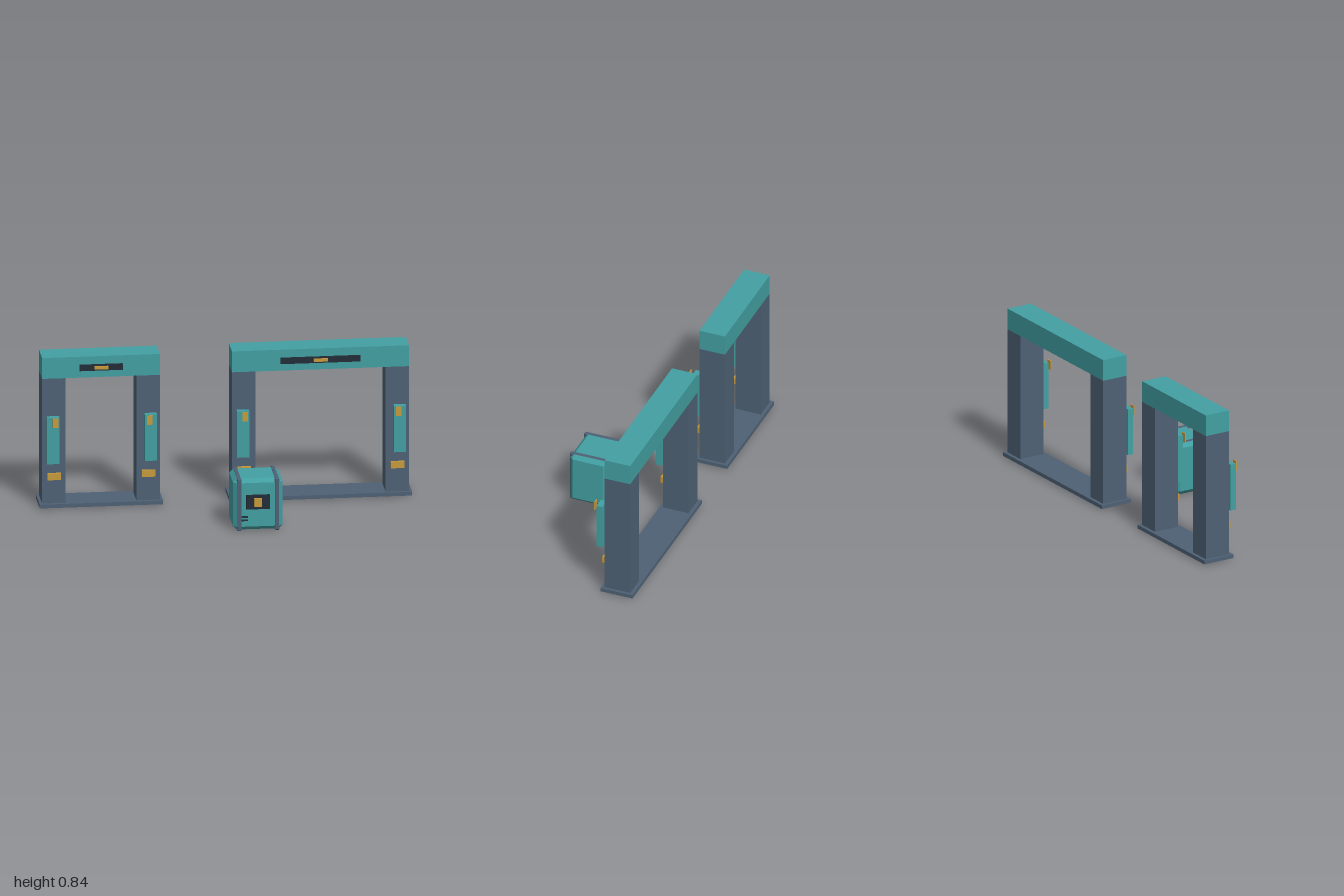
import * as THREE from 'three';
import { ConvexGeometry } from 'three/addons/geometries/ConvexGeometry.js';

const mat = (name, color) => {
  const m = new THREE.MeshStandardMaterial({ color });
  m.name = name;
  return m;
};

export function createModel() {
  const teal = mat('teal', 0x429fa2);
  const slate = mat('slate', 0x4e6175);
  const dark = mat('charcoal', 0x232c37);
  const gold = mat('gold', 0xc89a3c);

  // Box given by its limits on each axis
  const box = (parent, name, material, [x0, x1], [y0, y1], [z0, z1]) => {
    const mesh = new THREE.Mesh(new THREE.BoxGeometry(x1 - x0, y1 - y0, z1 - z0), material);
    mesh.position.set((x0 + x1) / 2, (y0 + y1) / 2, (z0 + z1) / 2);
    mesh.name = name;
    parent.add(mesh);
    return mesh;
  };
  const span = (c, w) => [c - w / 2, c + w / 2];

  // Box with all twelve edges chamfered
  const chamferBox = (w, h, d, c) => {
    const pts = [];
    for (const sx of [-1, 1]) for (const sy of [-1, 1]) for (const sz of [-1, 1]) {
      const x = w / 2, y = h / 2, z = d / 2;
      pts.push(
        new THREE.Vector3(sx * x, sy * (y - c), sz * (z - c)),
        new THREE.Vector3(sx * (x - c), sy * y, sz * (z - c)),
        new THREE.Vector3(sx * (x - c), sy * (y - c), sz * z));
    }
    return new ConvexGeometry(pts);
  };

  // Door frame: threshold, two posts with fittings, lintel with sign
  const gate = (name, cx, width, signWidth) => {
    const g = new THREE.Group();
    g.name = name;
    const depth = [-0.325, -0.178];
    box(g, 'threshold', slate, span(cx, width + 0.03), [0.01, 0.031], [-0.344, -0.159]);
    box(g, 'lintel', teal, span(cx, width), [0.73, 0.847], depth);
    box(g, 'signPanel', dark, span(cx, signWidth), [0.769, 0.803], [-0.178, -0.168]);
    box(g, 'signLight', gold, span(cx, 0.075), [0.778, 0.795], [-0.167, -0.158]);
    for (const side of [-1, 1]) {
      const px = cx + side * (width / 2 - 0.063);
      box(g, 'post', slate, span(px, 0.126), [0.031, 0.73], depth);
      box(g, 'postPlate', teal, span(px + side * 0.009, 0.066), [0.268, 0.527], [-0.155, -0.122]);
      box(g, 'plateClip', gold, span(px, 0.03), [0.478, 0.53], [-0.103, -0.098]);
      box(g, 'postLamp', gold, span(px, 0.073), [0.168, 0.205], [-0.167, -0.153]);
    }
    return g;
  };

  // Chamfered crate with two straps and a latch
  const crate = () => {
    const g = new THREE.Group();
    g.name = 'crate';
    const cx = 0.116, cy = 0.149, cz = 0.22;
    const body = new THREE.Mesh(chamferBox(0.266, 0.286, 0.217, 0.021), teal);
    body.position.set(cx, cy, cz);
    body.name = 'crateBody';
    g.add(body);
    for (const side of [-1, 1]) {
      const strap = new THREE.Mesh(chamferBox(0.025, 0.292, 0.224, 0.005), slate);
      strap.position.set(cx + side * 0.101, cy, cz);
      strap.name = 'crateStrap';
      g.add(strap);
    }
    box(g, 'latchPlate', dark, [0.052, 0.178], [0.125, 0.205], [0.327, 0.336]);
    box(g, 'latch', gold, [0.094, 0.136], [0.141, 0.188], [0.335, 0.345]);
    for (const y of [0.064, 0.082]) box(g, 'ventSlot', dark, [0.026, 0.062], span(y, 0.009), [0.327, 0.333]);
    return g;
  };

  const model = new THREE.Group();
  model.name = 'gatesAndCrate';
  model.add(gate('smallGate', -0.67, 0.632, 0.232), gate('largeGate', 0.508, 0.95, 0.428), crate());
  return model;
}
